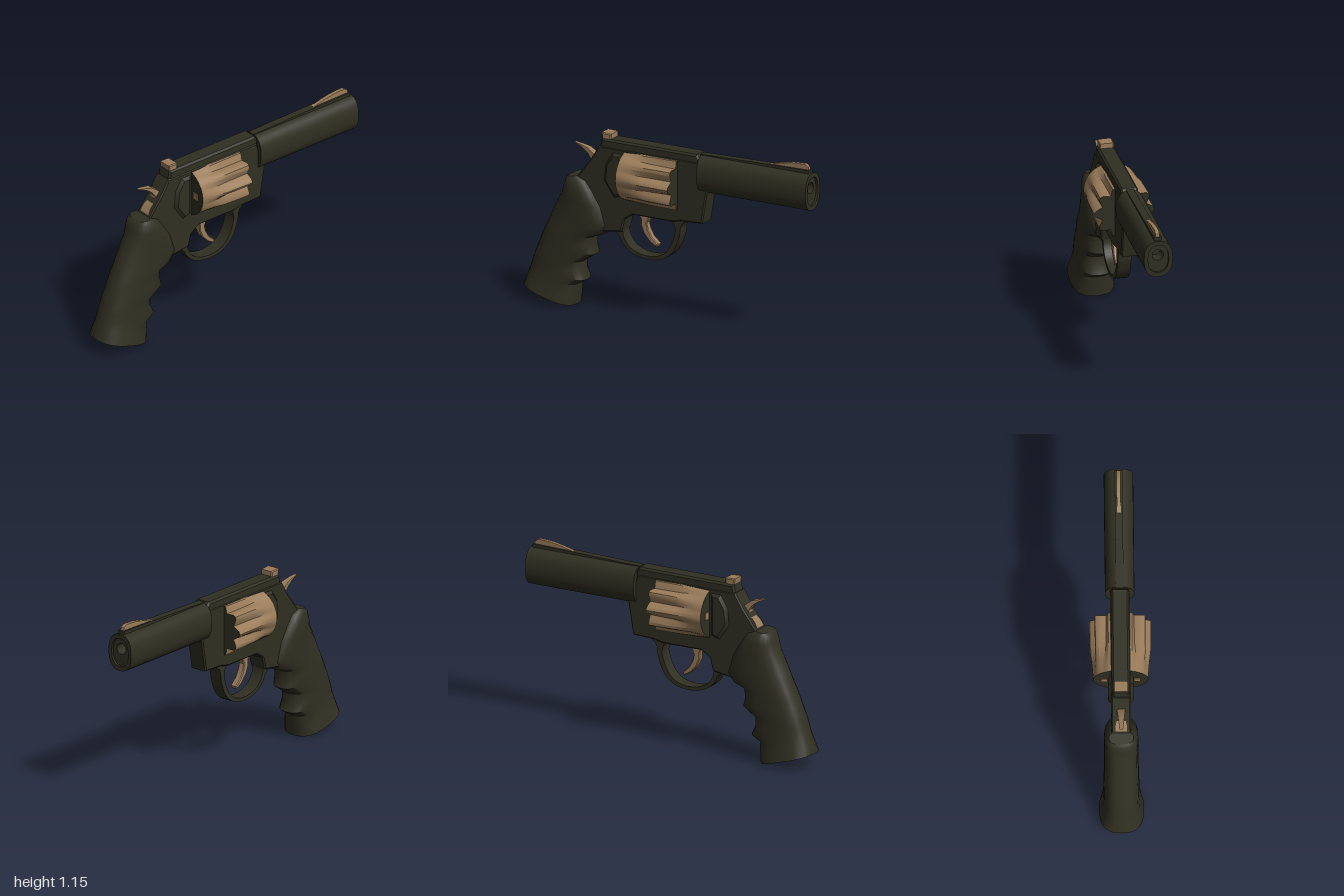
import * as THREE from 'three';
import { toCreasedNormals } from 'three/addons/utils/BufferGeometryUtils.js';

const dark = new THREE.MeshStandardMaterial({ color: 0x2f2f22 });
dark.name = 'dark metal';
const tan = new THREE.MeshStandardMaterial({ color: 0x9a7c5a });
tan.name = 'tan metal';

function add(group, name, geometry, material, crease = 0.6) {
  const mesh = new THREE.Mesh(toCreasedNormals(geometry, crease), material);
  mesh.name = name;
  group.add(mesh);
  return mesh;
}

const toPoints = (list) => list.map(([a, b]) => new THREE.Vector2(a, b));

// Side profile given as [z, y], extruded across x about the middle
function sidePlate(profile, half, bevel = 0) {
  const g = new THREE.ExtrudeGeometry(new THREE.Shape(toPoints(profile)), {
    depth: 2 * (half - bevel), bevelEnabled: bevel > 0, bevelThickness: bevel,
    bevelSize: bevel, bevelOffset: -bevel, bevelSegments: 1,
  });
  g.translate(0, 0, bevel - half);
  g.rotateY(-Math.PI / 2);
  return g;
}

// Skin through equal-length loops of points; returns the skin and both end caps
function loft(rows) {
  const n = rows[0].length;
  const build = (points, index) => {
    const g = new THREE.BufferGeometry().setFromPoints(points);
    g.setIndex(index);
    return g;
  };
  const index = [];
  for (let i = 0; i < rows.length - 1; i++) {
    for (let j = 0; j < n; j++) {
      const k = (j + 1) % n, a = i * n + j, b = i * n + k;
      index.push(a, a + n, b, b, a + n, b + n);
    }
  }
  const cap = (row, first) => {
    const centre = row.reduce((s, p) => s.add(p), new THREE.Vector3()).divideScalar(n);
    const tri = [];
    for (let j = 0; j < n; j++) {
      const k = (j + 1) % n;
      tri.push(n, first ? j : k, first ? k : j);
    }
    return build([...row, centre], tri);
  };
  return { skin: build(rows.flat(), index), start: cap(rows[0], true), end: cap(rows[rows.length - 1], false) };
}

// Rounded oval outline
function oval(rx, ry, cy, power = 2.4, n = 28) {
  const pts = [];
  for (let i = 0; i < n; i++) {
    const t = (i / n) * Math.PI * 2, c = Math.cos(t), s = Math.sin(t);
    pts.push([Math.sign(c) * rx * Math.abs(c) ** (2 / power), cy + Math.sign(s) * ry * Math.abs(s) ** (2 / power)]);
  }
  return pts;
}

// Tube along z with an opening through it
function bored(outer, inner, z0, z1) {
  const shape = new THREE.Shape(toPoints(outer));
  shape.holes.push(new THREE.Path(toPoints(inner)));
  const g = new THREE.ExtrudeGeometry(shape, { depth: z1 - z0, bevelEnabled: false });
  g.translate(0, 0, z0);
  return g;
}

export function createModel() {
  const model = new THREE.Group();
  model.name = 'revolver';

  // Frame body, rear cheeks and top strap
  add(model, 'frame', sidePlate([
    [0.47, 1.055], [-0.225, 1.06], [-0.25, 0.97], [-0.29, 0.88], [-0.255, 0.67], [-0.11, 0.665],
    [-0.04, 0.65], [0.23, 0.65], [0.29, 0.61], [0.31, 0.53], [0.5, 0.5], [0.64, 0.7], [0.62, 0.84], [0.52, 0.97],
  ], 0.06, 0.008), dark, 0.4);
  add(model, 'topStrap', sidePlate([
    [0.455, 1.105], [-0.215, 1.107], [-0.235, 1.08], [-0.235, 1.02], [0.47, 1.02],
  ], 0.055, 0.012), dark, 0.4);
  add(model, 'recoilShield', sidePlate([
    [0.3, 1.03], [0.3, 0.76], [0.36, 0.74], [0.43, 0.84], [0.42, 0.95], [0.37, 1.03],
  ], 0.078, 0.02), dark);

  // Barrel with recessed muzzle
  const cy = 0.984;
  add(model, 'barrel', bored(oval(0.09, 0.119, cy), oval(0.065, 0.09, cy), -1, -0.232), dark);
  add(model, 'muzzleFace', bored(oval(0.067, 0.092, cy), oval(0.035, 0.035, cy + 0.02, 2, 20), -0.985, -0.232), dark);
  const bore = add(model, 'boreEnd', new THREE.CircleGeometry(0.04, 20), dark);
  bore.rotation.y = Math.PI;
  bore.position.set(0, cy + 0.02, -0.9);
  add(model, 'barrelRib', sidePlate([
    [-0.225, 1.105], [-0.7, 1.117], [-0.985, 1.122], [-0.985, 1.06], [-0.225, 1.06],
  ], 0.024), dark);

  // Sights
  add(model, 'frontSight', sidePlate([
    [-0.71, 1.117], [-0.79, 1.137], [-0.86, 1.15], [-0.95, 1.155], [-0.975, 1.14], [-0.98, 1.115],
  ], 0.012), tan);
  add(model, 'rearSight', sidePlate([
    [0.458, 1.14], [0.39, 1.137], [0.39, 1.08], [0.45, 1.075],
  ], 0.045, 0.006), tan);

  // Fluted cylinder: smooth at the rear, ridged toward the muzzle
  const ridges = 10, steps = 6;
  const drum = [[0.29, 0], [0.2, 0.25], [0.1, 0.8], [-0.085, 1]].map(([z, flute]) => {
    const loop = [];
    for (let i = 0; i < ridges * steps; i++) {
      const t = (i / (ridges * steps)) * Math.PI * 2;
      const ridge = Math.abs(Math.cos((t * ridges) / 2)) ** 1.5;
      const r = 0.169 + flute * (-0.025 + 0.046 * ridge);
      const y = THREE.MathUtils.clamp(r * Math.sin(t) * 0.95, -0.158, 0.158);
      loop.push(new THREE.Vector3(r * Math.cos(t), 0.892 + y, z));
    }
    return loop;
  });
  const cylinder = loft(drum);
  add(model, 'cylinder', cylinder.skin, tan);
  add(model, 'cylinderRear', cylinder.start, dark);
  add(model, 'cylinderFront', cylinder.end, dark);
  for (const side of [-1, 1]) {
    const rim = add(model, 'cartridgeRim', new THREE.BoxGeometry(0.04, 0.045, 0.008), tan);
    rim.position.set(side * 0.1, 0.89, 0.292);
  }

  // Hammer, its spur narrowing to a point
  const hammer = sidePlate([
    [0.668, 1.036], [0.62, 1.028], [0.567, 1.015], [0.51, 0.975], [0.48, 1.02], [0.45, 1.02], [0.45, 0.85],
    [0.62, 0.835], [0.595, 0.885], [0.548, 0.925], [0.545, 0.95], [0.57, 0.985], [0.61, 1.012],
  ], 0.036);
  const hp = hammer.attributes.position;
  for (let i = 0; i < hp.count; i++) {
    if (hp.getY(i) > 0.92) hp.setX(i, hp.getX(i) * THREE.MathUtils.mapLinear(hp.getZ(i), 0.45, 0.668, 0.9, 0.3));
  }
  add(model, 'hammer', hammer, tan);

  // Trigger and guard
  add(model, 'trigger', sidePlate([
    [0.225, 0.665], [0.13, 0.665], [0.14, 0.63], [0.155, 0.6], [0.145, 0.56], [0.12, 0.515], [0.075, 0.475],
    [0.085, 0.455], [0.13, 0.48], [0.175, 0.53], [0.195, 0.58], [0.195, 0.62],
  ], 0.022, 0.005), tan);
  const outer = new THREE.SplineCurve(toPoints([
    [0.4, 0.54], [0.34, 0.5], [0.31, 0.45], [0.25, 0.4], [0.15, 0.375], [0.04, 0.39], [-0.04, 0.45], [-0.085, 0.55], [-0.1, 0.63], [-0.15, 0.67],
  ]));
  const inner = new THREE.SplineCurve(toPoints([
    [0, 0.665], [-0.045, 0.635], [-0.055, 0.57], [-0.015, 0.47], [0.05, 0.413], [0.15, 0.398], [0.24, 0.422], [0.29, 0.47], [0.31, 0.53], [0.3, 0.6],
  ]));
  const guard = [...outer.getPoints(30), ...inner.getPoints(30)].map((p) => [p.x, p.y]);
  add(model, 'triggerGuard', sidePlate([...guard, [0.4, 0.6]], 0.042), dark);

  // Grip from slices: back z, y, front z, y, half width
  const slices = [
    [0.69, 0.832, 0.61, 0.842, 0.075], [0.712, 0.815, 0.55, 0.815, 0.092], [0.725, 0.765, 0.51, 0.76, 0.104],
    [0.745, 0.71, 0.445, 0.66, 0.105], [0.79, 0.63, 0.405, 0.54, 0.105], [0.83, 0.54, 0.44, 0.487, 0.105],
    [0.855, 0.485, 0.52, 0.455, 0.106], [0.88, 0.43, 0.527, 0.4, 0.107], [0.897, 0.39, 0.512, 0.342, 0.108],
    [0.92, 0.33, 0.6, 0.285, 0.109], [0.942, 0.27, 0.598, 0.225, 0.11], [0.957, 0.225, 0.573, 0.17, 0.112],
    [0.972, 0.18, 0.632, 0.135, 0.115], [0.987, 0.14, 0.637, 0.07, 0.126], [1, 0.1, 0.647, 0, 0.137],
  ];
  const gripRows = slices.map(([bz, by, fz, fy, w]) =>
    oval(1, 1, 0, 2.6, 24).map(([u, v]) => {
      const s = (1 - u) / 2;
      return new THREE.Vector3(v * w, by + (fy - by) * s, bz + (fz - bz) * s);
    }));
  const grip = loft(gripRows);
  add(model, 'grip', grip.skin, dark, 0.7);
  add(model, 'gripTop', grip.start, dark);
  add(model, 'gripBase', grip.end, dark);

  return model;
}
